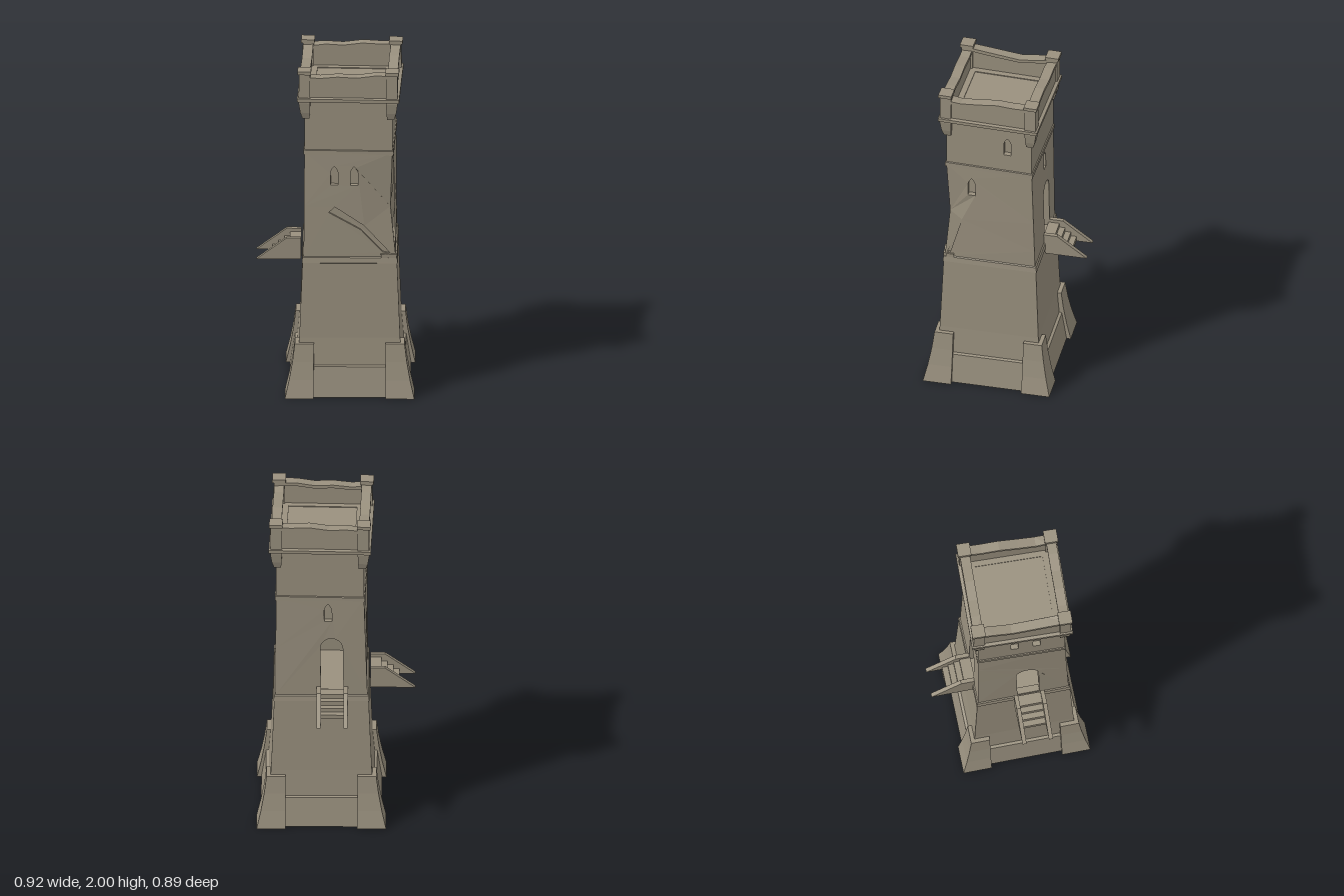
import * as THREE from 'three';

const stone = new THREE.MeshStandardMaterial({ color: 0x9a917f });
stone.name = 'weathered stone';

// Upper storeys turn slightly about the vertical axis
function twist(geo) {
  const g = geo.index ? geo.toNonIndexed() : geo;
  const p = g.attributes.position;
  for (let i = 0; i < p.count; i++) {
    const x = p.getX(i), y = p.getY(i), z = p.getZ(i);
    const a = -0.033 * THREE.MathUtils.clamp((y - 0.83) / 0.67, 0, 1);
    p.setXYZ(i, x * Math.cos(a) + z * Math.sin(a), y, z * Math.cos(a) - x * Math.sin(a));
  }
  g.computeVertexNormals();
  return g;
}

function add(parent, name, geo, turned = true) {
  const mesh = new THREE.Mesh(turned ? twist(geo) : geo, stone);
  mesh.name = name;
  parent.add(mesh);
  return mesh;
}

// Square solid of revolution: profile of [half width, height]
function square(profile) {
  const pts = profile.map(([h, y]) => new THREE.Vector2(h * Math.SQRT2, y));
  return new THREE.LatheGeometry(pts, 4, Math.PI / 4);
}

const poly = pts => new THREE.Shape(pts.map(([x, y]) => new THREE.Vector2(x, y)));

// Wall plate leaning with the tower, mitred at the corners
function plate(shape, half, t, inset, side, dent = false) {
  const g = new THREE.ExtrudeGeometry(shape, { depth: t, bevelEnabled: false, curveSegments: 5 });
  const p = g.attributes.position;
  for (let i = 0; i < p.count; i++) {
    let u = p.getX(i);
    const y = p.getY(i), z = p.getZ(i), h = half(y);
    if (Math.abs(u) > h - 0.001) u -= Math.sign(u) * (t - z);
    p.setXYZ(i, u, y, h - inset - t + z);
  }
  g.rotateY(side * Math.PI / 2);
  // Caved-in corner
  if (dent) for (let i = 0; i < p.count; i++) {
    const x = p.getX(i), y = p.getY(i), z = p.getZ(i);
    if (x > 0.19 && z > 0.19 && y > 0.9 && y < 1.45) {
      const d = 0.022 * (1 - Math.abs(y - 1.15) / 0.4);
      p.setXYZ(i, x - d, y, z - d);
    }
  }
  return g;
}

function lancet(u, y, w = 0.044, h = 0.115) {
  const s = new THREE.Shape();
  s.moveTo(u - w / 2, y);
  s.lineTo(u + w / 2, y);
  s.lineTo(u + w / 2, y + h * 0.6);
  s.quadraticCurveTo(u + w / 2, y + h * 0.82, u, y + h);
  s.quadraticCurveTo(u - w / 2, y + h * 0.82, u - w / 2, y + h * 0.6);
  s.closePath();
  return s;
}

function archway(u, y, w, h) {
  const s = new THREE.Shape();
  s.moveTo(u - w / 2, y);
  s.lineTo(u + w / 2, y);
  s.absarc(u, y + h - w / 2, w / 2, 0, Math.PI, false);
  s.closePath();
  return s;
}

// One storey: four plates with openings; closed openings get a recessed panel
function storey(parent, name, y0, y1, half, openings, dent) {
  const levels = dent ? [y0, 0.95, 1.15, 1.35, y1] : [y0, y1];
  for (let side = 0; side < 4; side++) {
    const outline = [...levels.map(y => [half(y), y]), ...levels.slice().reverse().map(y => [-half(y), y])];
    const wall = poly(outline);
    for (const o of openings[side]) {
      wall.holes.push(o.shape);
      if (!o.open) add(parent, 'recessPanel', plate(o.shape, half, 0.01, o.depth || 0.03, side, dent));
    }
    add(parent, name, plate(wall, half, 0.04, 0, side, dent));
  }
}

// Flight of steps leading out along +z from the wall
function stairs() {
  const g = new THREE.Group();
  g.name = 'stairs';
  const profile = poly([[0, 0.77], [0.26, 0.77], [0.085, 0.9], [0, 0.9]]);
  for (const s of [-1, 1]) {
    const geo = new THREE.ExtrudeGeometry(profile, { depth: 0.024, bevelEnabled: false });
    geo.rotateY(-Math.PI / 2);
    add(g, 'stringer', geo.translate(s * 0.078 + 0.012, 0, 0), false);
  }
  for (let i = 0; i < 4; i++) {
    const len = 0.065 + i * 0.034;
    const geo = new THREE.BoxGeometry(0.136, 0.026, len);
    add(g, 'step', geo.translate(0, 0.867 - i * 0.026, len / 2), false);
  }
  return g;
}

export function createModel() {
  const model = new THREE.Group();
  model.name = 'watchtower';
  const tower = new THREE.Group();
  tower.name = 'tower';
  tower.position.set(0.083, 0, 0.07);
  model.add(tower);

  // Hollow-bottomed plinth and battered lower storey
  add(tower, 'lowerBody', square([[0, 0.06], [0.25, 0.06], [0.25, 0], [0.35, 0], [0.322, 0.18],
    [0.306, 0.185], [0.292, 0.35], [0.274, 0.805]]));
  add(tower, 'lowerBelt', square([[0.27, 0.803], [0.278, 0.808], [0.274, 0.84], [0.265, 0.846], [0, 0.846]]));
  add(tower, 'upperBelt', square([[0.25, 1.47], [0.261, 1.474], [0.261, 1.5], [0.25, 1.506]]));

  // Corner buttresses
  for (const sx of [-1, 1]) for (const sz of [-1, 1]) {
    const geo = new THREE.BoxGeometry(1, 1, 1, 1, 3, 1);
    const p = geo.attributes.position;
    for (let i = 0; i < p.count; i++) {
      const k = p.getY(i) + 0.5;
      const outer = 0.375 - 0.082 * k + 0.025 * k * k;
      const place = (v, s) => s * (v * s > 0 ? outer : 0.208);
      p.setXYZ(i, place(p.getX(i), sx), k * 0.32, place(p.getZ(i), sz));
    }
    add(tower, 'buttress', geo);
  }

  // Middle storey with doors, lancets and long fractures
  const lean = y => 0.267 - 0.012 * (y - 0.84) / 0.65;
  const gash = poly([[-0.118, 1.115], [-0.083, 1.15], [0.087, 1.035], [0.238, 0.865], [0.19, 0.875], [0.067, 1.01]]);
  const split = poly([[-0.255, 0.87], [-0.235, 0.87], [-0.165, 1.11], [-0.2, 1.02]]);
  storey(tower, 'middleWall', 0.84, 1.49, lean, [
    [{ shape: lancet(-0.083, 1.285) }, { shape: lancet(0.032, 1.285) }, { shape: gash, depth: 0.014 }],
    [{ shape: lancet(-0.105, 1.29) }, { shape: split, depth: 0.012 }],
    [{ shape: lancet(0.045, 1.335) }, { shape: archway(0.063, 0.86, 0.13, 0.36), open: true }],
    [{ shape: archway(0.03, 0.86, 0.13, 0.36), open: true }],
  ], true);

  // Upper storey
  storey(tower, 'upperWall', 1.49, 1.82, () => 0.255, [
    [],
    [{ shape: lancet(0.11, 1.612) }],
    [],
    [{ shape: lancet(-0.04, 1.6) }, { shape: lancet(0.09, 1.6) }],
  ], false);

  // Overhanging belt and roof deck with a shallow inset
  add(tower, 'parapetBelt', square([[0.25, 1.795], [0.279, 1.808], [0.296, 1.812], [0.296, 1.832], [0.279, 1.836], [0.22, 1.836]]));
  add(tower, 'roofDeck', square([[0, 1.8], [0.245, 1.8], [0.245, 1.838], [0.198, 1.838], [0.198, 1.833], [0, 1.833]]));

  // Ragged parapet walls with coping
  const ragged = [
    [1.95, 1.945, 1.955, 1.95, 1.965, 1.965],
    [1.95, 1.94, 1.95, 1.965, 1.96, 1.965],
    [1.965, 1.965, 1.97, 1.955, 1.96, 1.95],
    [1.96, 1.95, 1.935, 1.945, 1.955, 1.965],
  ];
  const marks = [-0.277, -0.16, -0.06, 0.05, 0.15, 0.277];
  ragged.forEach((tops, side) => {
    const top = tops.map((y, i) => [marks[i], y]).reverse();
    add(tower, 'parapetWall', plate(poly([[-0.277, 1.83], [0.277, 1.83], ...top]), () => 0.277, 0.045, 0, side));
    const under = tops.map((y, i) => [marks[i] * 1.02, y - 0.008]);
    const over = tops.map((y, i) => [marks[i] * 1.02, y + 0.012]).reverse();
    add(tower, 'coping', plate(poly([...under, ...over]), () => 0.2825, 0.058, 0, side));
  });

  // Corner posts with corbelled feet and caps: [y, inner, outer]
  const rings = [[1.7, 0.225, 0.266], [1.74, 0.222, 0.278], [1.8, 0.22, 0.287], [1.98, 0.22, 0.285]];
  for (const sx of [-1, 1]) for (const sz of [-1, 1]) {
    const geo = new THREE.BoxGeometry(1, 3, 1, 1, 3, 1);
    const p = geo.attributes.position;
    for (let i = 0; i < p.count; i++) {
      const [y, inner, outer] = rings[Math.round(p.getY(i) + 1.5)];
      const place = (v, s) => s * (v * s > 0 ? outer : inner);
      p.setXYZ(i, place(p.getX(i), sx), y, place(p.getZ(i), sz));
    }
    add(tower, 'cornerPost', geo);
    add(tower, 'postCap', new THREE.BoxGeometry(0.078, 0.02, 0.078).translate(sx * 0.255, 1.99, sz * 0.255));
  }

  // Broken stones at the damaged corner
  [[0.235, 0.262, 0.07], [0.262, 0.235, 0.045], [0.2, 0.266, 0.04]].forEach(([x, z, s], i) => {
    const geo = new THREE.BoxGeometry(s, 0.022, 0.03).rotateY(i === 1 ? Math.PI / 2 : 0.05);
    add(tower, 'brokenStone', geo.rotateZ(0.04 * (i - 1)).translate(x, 0.853, z));
  });

  // Outside stairs at the back and right doors
  const back = stairs();
  back.position.set(0.02, 0, -0.19);
  back.rotation.y = Math.PI;
  const right = stairs();
  right.position.set(-0.2, 0, 0.1);
  right.rotation.y = -Math.PI / 2;
  model.add(back, right);
  return model;
}
